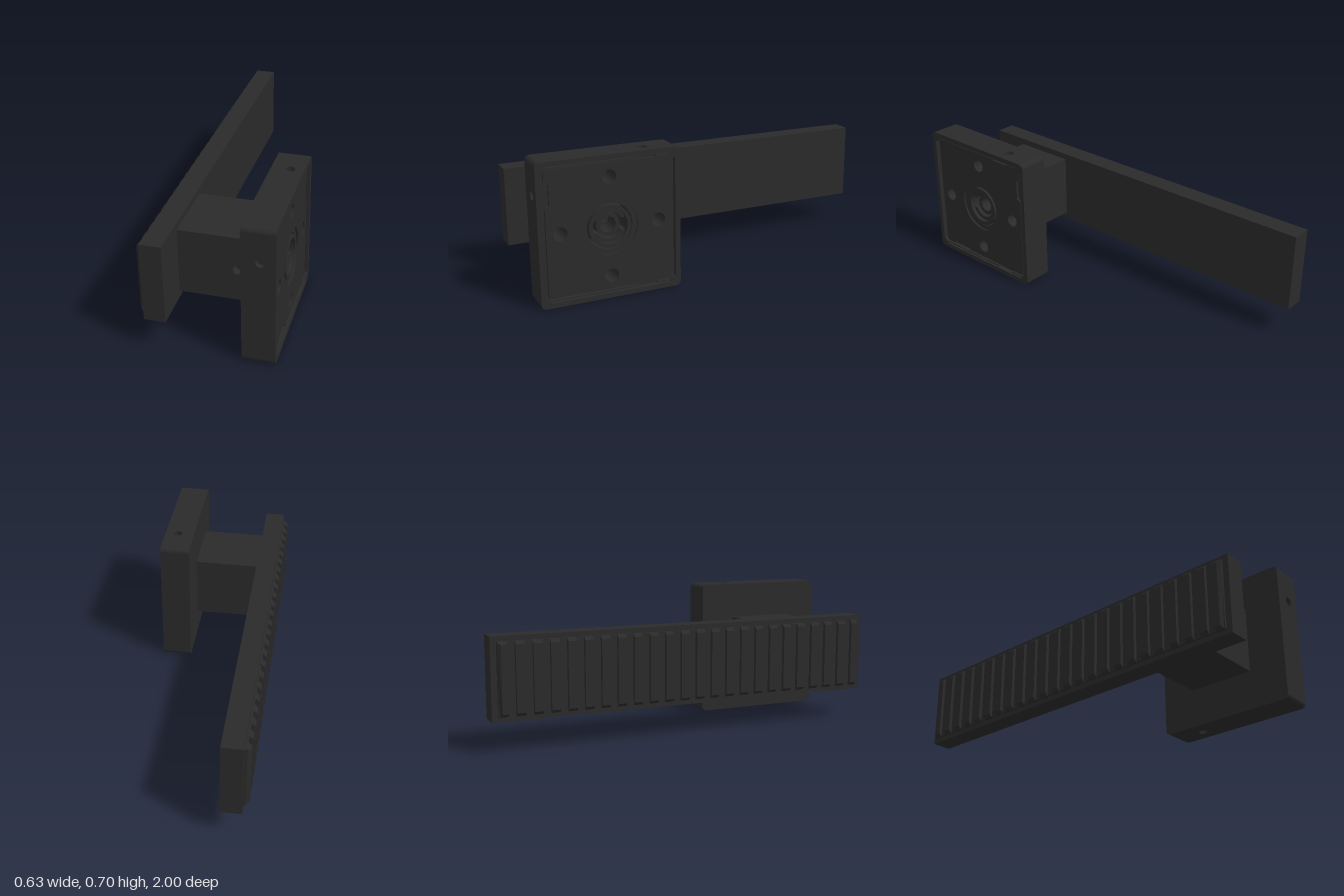
import * as THREE from 'three';

const mat = new THREE.MeshStandardMaterial({ color: 0x2a2a2a });
const CY = 0.35, CZ = 0.635; // axis of the rosette

function add(parent, geo, name, x = 0, y = 0, z = 0) {
  const m = new THREE.Mesh(geo, mat);
  m.name = name;
  m.position.set(x, y, z);
  parent.add(m);
  return m;
}
const poly = pts => new THREE.Shape(pts.map(p => new THREE.Vector2(...p)));
const rect = (w, h) => poly([[-w / 2, -h / 2], [w / 2, -h / 2], [w / 2, h / 2], [-w / 2, h / 2]]);
function circle(r, x = 0, y = 0, from = 0, to = Math.PI * 2) {
  return new THREE.Shape().absarc(x, y, r, from, to, false);
}
function roundedSquare(h, r) {
  const s = new THREE.Shape();
  [[1, 1], [-1, 1], [-1, -1], [1, -1]].forEach(([a, b], i) =>
    s.absarc(a * (h - r), b * (h - r), r, i * Math.PI / 2, (i + 1) * Math.PI / 2, false));
  s.closePath();
  return s;
}
function extrude(shape, depth, holes = []) {
  shape.holes.push(...holes);
  return new THREE.ExtrudeGeometry(shape, { depth, bevelEnabled: false, curveSegments: 20 });
}
// Extrudes a shape along +x from x0 to x1, centred on the rosette axis (shape x runs towards -z)
function alongX(parent, name, shape, x0, x1, holes) {
  const m = add(parent, extrude(shape, x1 - x0, holes), name, x0, CY, CZ);
  m.rotation.y = Math.PI / 2;
  return m;
}

export function createModel() {
  const model = new THREE.Group();
  model.name = 'doorHandle';

  // Lever bar with its ribbed grip
  const lever = new THREE.Group();
  lever.name = 'lever';
  model.add(lever);
  add(lever, new THREE.BoxGeometry(0.102, 0.396, 2), 'leverBar', -0.231, 0.352, 0);
  add(lever, new THREE.BoxGeometry(0.012, 0.345, 1.94), 'gripBacking', -0.286, 0.352, 0);
  const n = 24, pitch = 0.0825, ribW = 0.044;
  for (let i = 0; i < n; i++) {
    const rib = poly([[-0.28, 0.178], [-0.28, 0.526], [-0.295, 0.526], [-0.31, 0.511], [-0.31, 0.193], [-0.295, 0.178]].reverse());
    const geo = extrude(rib, ribW);
    // The outermost ribs slope down towards the lever ends
    const end = i === 0 ? 0 : i === n - 1 ? ribW : -1;
    const p = geo.attributes.position;
    for (let k = 0; k < p.count; k++) {
      if (end >= 0 && Math.abs(p.getZ(k) - end) < 1e-4 && p.getX(k) < -0.3) {
        p.setZ(k, end === 0 ? 0.015 : ribW - 0.015);
      }
    }
    geo.computeVertexNormals();
    add(lever, geo, 'gripRib', 0, 0, (i - (n - 1) / 2) * pitch - ribW / 2);
  }

  // Square neck with a set screw hole in its front face
  const neck = new THREE.Group();
  neck.name = 'neck';
  model.add(neck);
  add(neck, new THREE.BoxGeometry(0.335, 0.33, 0.295), 'neckBlock', -0.0125, 0.353, 0.6125);
  add(neck, extrude(rect(0.335, 0.33), 0.04, [circle(0.024, 0.1125, -0.003)]), 'neckFront', -0.0125, 0.353, 0.76);

  // Collar in two halves, split by a narrow slot
  for (const s of [0, Math.PI]) {
    const a = Math.asin(0.02 / 0.105);
    const half = circle(0.105, 0, 0, a, Math.PI - a);
    half.closePath();
    const holder = alongX(model, 'collarHalf', half, 0.15, 0.17);
    if (s) holder.rotation.set(Math.PI, Math.PI / 2, 0, 'XYZ');
    if (s) holder.rotation.set(0, Math.PI / 2, Math.PI, 'YXZ');
  }

  // Rosette: four walls, three of them pierced by a screw hole
  const rosette = new THREE.Group();
  rosette.name = 'rosette';
  model.add(rosette);
  const H = 0.35, R = 0.025, X0 = 0.165, X1 = 0.32, D = X1 - X0, L = 2 * (H - R);
  const wall = (name, hole) => {
    const g = extrude(rect(D, L), R, hole === null ? [] : [circle(0.023, 0.0105, hole)]);
    g.translate(0, 0, H - R);
    return add(rosette, g, name, (X0 + X1) / 2, CY, CZ);
  };
  wall('frontWall', 0.185);
  wall('backWall', null).rotation.x = Math.PI;
  wall('topWall', 0.185).rotation.x = -Math.PI / 2;
  wall('bottomWall', -0.185).rotation.x = Math.PI / 2;
  for (const a of [-1, 1]) for (const b of [-1, 1]) {
    const c = add(rosette, new THREE.CylinderGeometry(R, R, D, 24), 'roundedCorner',
      (X0 + X1) / 2, CY + a * (H - R), CZ + b * (H - R));
    c.rotation.z = Math.PI / 2;
  }
  alongX(rosette, 'coverBase', rect(L + 0.02, L + 0.02), X0, 0.18, [circle(0.07)]);

  // Mounting plate, notched at the edge, with four fixing holes and a centre bore
  const e = 0.309;
  const plate = poly([
    [-e, -e], [-0.245, -e], [-0.235, -0.285], [-0.125, -0.285], [-0.115, -e], [e, -e],
    [e, 0.13], [0.288, 0.14], [0.288, 0.24], [e, 0.25], [e, e],
    [-e, e], [-e, 0.25], [-0.288, 0.24], [-0.288, 0.14], [-e, 0.13]]);
  const bolts = [0, 1, 2, 3].map(i => circle(0.034, 0.242 * Math.cos(i * Math.PI / 2), 0.242 * Math.sin(i * Math.PI / 2)));
  alongX(rosette, 'mountingPlate', plate, 0.18, 0.308, [...bolts, circle(0.136)]);
  alongX(rosette, 'plateFloor', roundedSquare(0.326, 0.01), 0.18, 0.295,
    [circle(0.136), ...bolts.map(b => b.clone()), ]);
  // Thin clip strips in the groove around the plate
  for (const s of [-1, 1]) {
    for (const [from, to] of [[-0.31, 0.13], [0.23, 0.31]]) {
      add(rosette, new THREE.BoxGeometry(0.02, 0.006, to - from), 'clipStrip', 0.305, CY + s * 0.316, CZ - (from + to) / 2);
    }
  }

  // Stepped bearing rings in the bore
  alongX(rosette, 'outerRing', circle(0.137), 0.18, 0.298, [circle(0.112)]);
  alongX(rosette, 'innerRing', circle(0.105), 0.17, 0.305, [circle(0.086)]);
  const key = new THREE.Shape();
  const k = Math.asin(0.03 / 0.066), k2 = Math.asin(0.03 / 0.09);
  // Circular bore with a slot on either side
  key.absarc(0, 0, 0.066, k, Math.PI - k, false);
  key.absarc(0, 0, 0.09, Math.PI - k2, Math.PI + k2, false);
  key.absarc(0, 0, 0.066, Math.PI + k, 2 * Math.PI - k, false);
  key.absarc(0, 0, 0.09, -k2, k2, false);
  key.closePath();
  alongX(rosette, 'keyedHub', circle(0.1), 0.17, 0.285, [key]);
  alongX(rosette, 'spindleSocket', circle(0.058), 0.17, 0.27, [circle(0.038)]);

  return model;
}

// Position marker bead floating above the lever
const build = createModel;
export default function () { return build(); }
